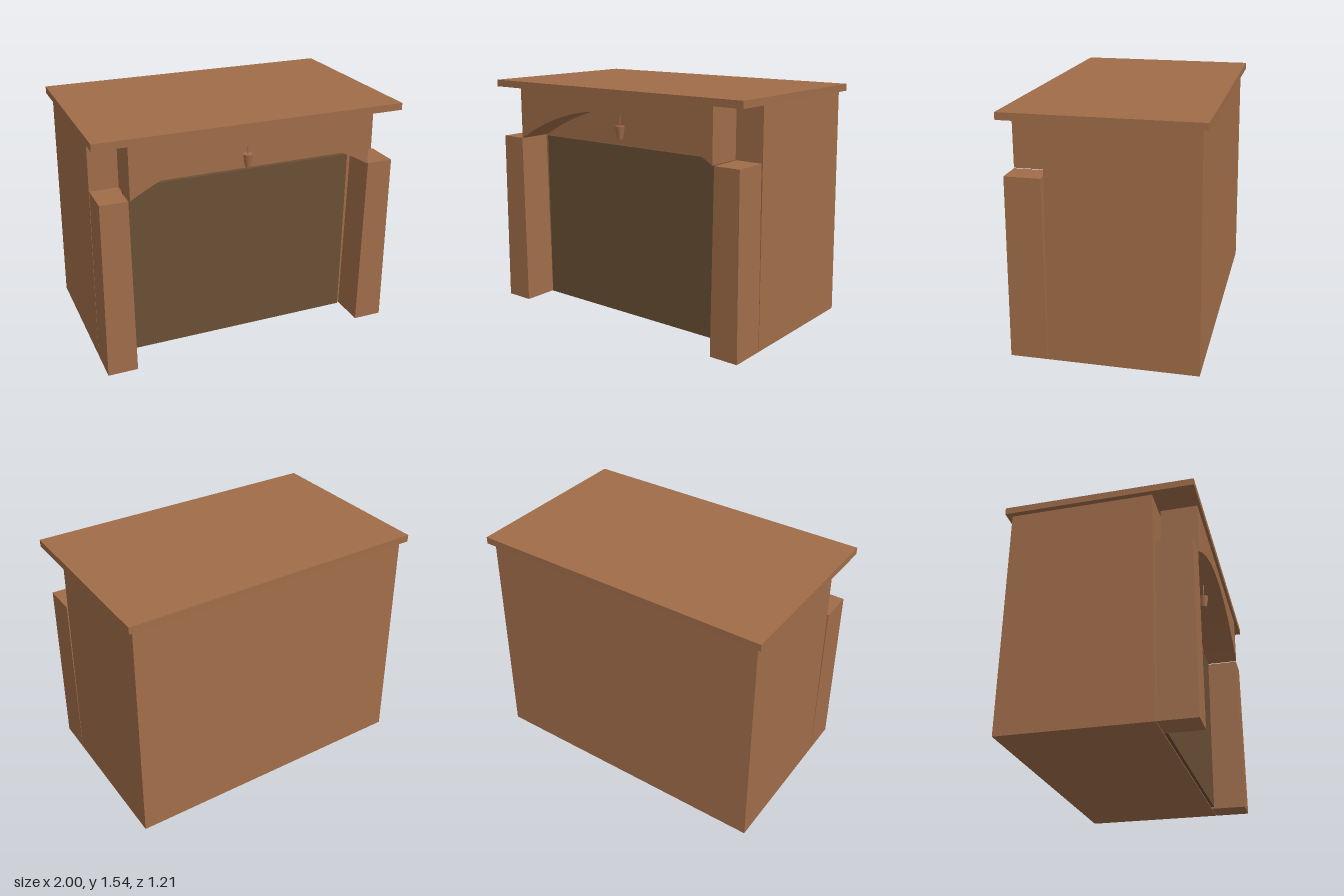
import * as THREE from 'three';

const wood = new THREE.MeshStandardMaterial({ color: 0xa06d49 });
wood.name = 'wood';
const darkWood = new THREE.MeshStandardMaterial({ color: 0x6b4f34 });
darkWood.name = 'dark wood';

function add(group, name, geometry, material = wood) {
  const mesh = new THREE.Mesh(geometry, material);
  mesh.name = name;
  group.add(mesh);
  return mesh;
}

// Box whose bottom and top rectangles differ; each is [x0, x1, z0, z1]
function taperedBox(bottom, top, y0, y1) {
  const geo = new THREE.BoxGeometry(1, 1, 1);
  const p = geo.attributes.position;
  for (let i = 0; i < p.count; i++) {
    const upper = p.getY(i) > 0;
    const r = upper ? top : bottom;
    p.setXYZ(i, p.getX(i) < 0 ? r[0] : r[1], upper ? y1 : y0, p.getZ(i) < 0 ? r[2] : r[3]);
  }
  geo.computeVertexNormals();
  return geo;
}

export function createModel() {
  const model = new THREE.Group();
  model.name = 'building';

  // Main block, leaning slightly inward
  add(model, 'body', taperedBox([-0.98, 0.98, -0.588, 0.352], [-0.965, 0.965, -0.572, 0.34], 0, 1.495));

  // Overhanging roof slab
  add(model, 'roof', new THREE.BoxGeometry(2, 0.045, 1.214)).position.y = 1.5175;

  // Front pillars
  add(model, 'leftPillar', taperedBox([0.788, 0.98, 0.355, 0.59], [0.797, 0.97, 0.36, 0.584], 0, 1.156));
  add(model, 'rightPillar', taperedBox([-0.98, -0.788, 0.355, 0.59], [-0.97, -0.797, 0.36, 0.584], 0, 1.156));

  // Arched lintel between the pillars
  const arch = new THREE.Shape();
  arch.moveTo(-0.788, 1.156);
  arch.quadraticCurveTo(0, 1.634, 0.788, 1.156);
  arch.lineTo(0.788, 1.495);
  arch.lineTo(-0.788, 1.495);
  arch.closePath();
  const archGeo = new THREE.ExtrudeGeometry(arch, { depth: 0.235, bevelEnabled: false, curveSegments: 32 });
  add(model, 'arch', archGeo).position.z = 0.353;

  // Large dark door against the front wall
  add(model, 'door', new THREE.BoxGeometry(1.536, 1.143, 0.035), darkWood).position.set(0, 0.5785, 0.355);

  // Hanging lamp under the arch
  const lamp = new THREE.Group();
  lamp.name = 'lamp';
  lamp.position.z = 0.48;
  add(lamp, 'lampRod', new THREE.CylinderGeometry(0.004, 0.004, 0.1, 8)).position.y = 1.345;
  add(lamp, 'lampShade', new THREE.CylinderGeometry(0.032, 0.02, 0.082, 8)).position.y = 1.257;
  model.add(lamp);

  return model;
}
